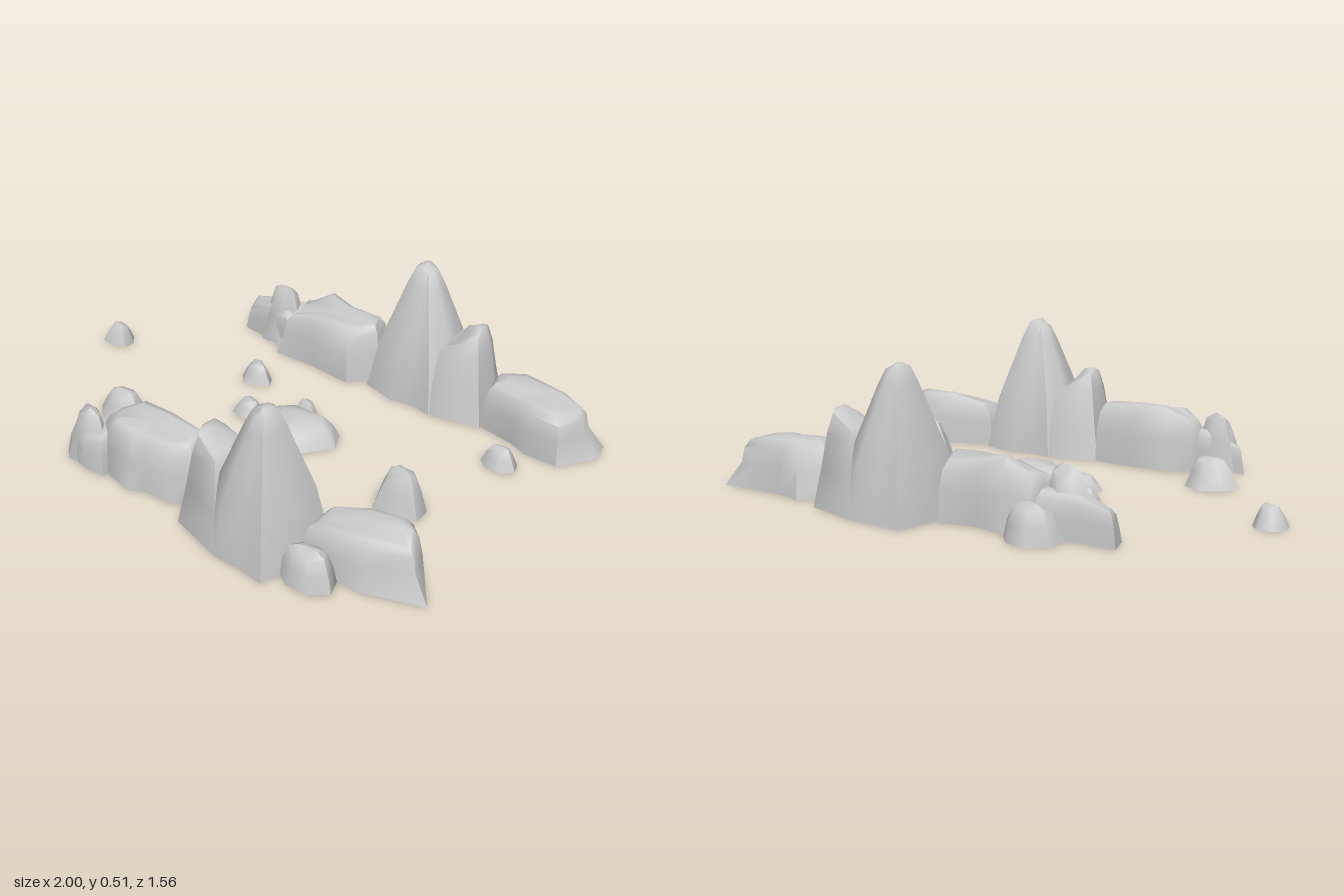
import * as THREE from 'three';
import { toCreasedNormals } from 'three/addons/utils/BufferGeometryUtils.js';

const material = new THREE.MeshStandardMaterial({ color: 0xcccccc, side: THREE.DoubleSide });

// Hollow rock: a footprint [x, z, height, flare] rises through rings [height share, inset] to an apex [x, z, y].
// stretch < 1 keeps the top long in x; flare spreads the foot of one corner.
function rock(name, base, apex, profile, stretch = 1) {
  const n = base.length, pos = [], index = [];
  for (const [t, inset] of profile) {
    for (const [x, z, h, flare = 0] of base) {
      const k = t > 0 ? inset + flare * (1 - inset) : 0;
      pos.push(x + (apex[0] - x) * k * stretch, h * t, z + (apex[1] - z) * k);
    }
  }
  pos.push(apex[0], apex[2], apex[1]);
  const last = profile.length - 1;
  for (let r = 0; r < last; r++) {
    for (let i = 0; i < n; i++) {
      const a = r * n + i, b = r * n + (i + 1) % n;
      index.push(a, a + n, b, b, a + n, b + n);
    }
  }
  for (let i = 0; i < n; i++) index.push(last * n + i, n * (last + 1), last * n + (i + 1) % n);
  const geometry = new THREE.BufferGeometry();
  geometry.setAttribute('position', new THREE.Float32BufferAttribute(pos, 3));
  geometry.setIndex(index);
  const mesh = new THREE.Mesh(toCreasedNormals(geometry, 0.95), material);
  mesh.name = name;
  return mesh;
}

const PEAK = [[0, 0], [0.4, 0.14], [0.7, 0.46], [0.86, 0.63], [0.98, 0.78], [1, 0.88]];
const SPUR = [[0, 0], [0.42, 0.14], [0.78, 0.32], [0.98, 0.5], [1, 0.65]];
const RIDGE = [[0, 0], [0.5, 0.05], [0.82, 0.17], [0.97, 0.36], [1, 0.6]];
const STONE = [[0, 0], [0.5, 0.24], [0.93, 0.52], [1, 0.75]];
const MOUND = [[0, 0], [0.5, 0.15], [0.9, 0.36], [1, 0.62]];

// Tall peak with a lower spur leaning on its side
function peak() {
  const g = new THREE.Group();
  g.add(
    rock('peakCone', [[0.07, -0.78, 0.51, 0.08], [0.17, -0.765, 0.515, 0.1], [0.28, -0.76, 0.5, 0.05],
      [0.41, -0.68, 0.5, 0.12], [0.43, -0.5, 0.5, 0.1], [0.36, -0.4, 0.5, 0.03], [0.27, -0.415, 0.51],
      [0.19, -0.4, 0.51], [0.05, -0.44, 0.51, 0.1], [0.03, -0.61, 0.51, 0.1]], [0.21, -0.58, 0.515], PEAK),
    rock('peakSpur', [[0.28, -0.76, 0.28, 0.1], [0.5, -0.69, 0.33, 0.1], [0.54, -0.6, 0.34, 0.08],
      [0.53, -0.54, 0.34], [0.56, -0.44, 0.33, 0.12], [0.47, -0.42, 0.31], [0.38, -0.4, 0.28],
      [0.28, -0.42, 0.26]], [0.43, -0.56, 0.335], SPUR));
  return g;
}

// Loose stone with a slightly uneven outline
function stone(name, x, z, rx, rz, h, turn, profile = STONE) {
  const sides = 7, base = [];
  for (let i = 0; i < sides; i++) {
    const a = turn + (i / sides) * Math.PI * 2;
    const r = 1 + 0.08 * Math.sin(i * 2.4 + turn * 5);
    base.push([x + rx * r * Math.cos(a), z + rz * r * Math.sin(a), h * (0.94 + 0.06 * Math.cos(i * 1.9))]);
  }
  return rock(name, base, [x + rx * 0.08, z, h], profile);
}

export function createModel() {
  const model = new THREE.Group();
  model.name = 'rockFormation';

  // Matching peaks, the front one turned half way round
  const backPeak = peak();
  backPeak.name = 'backPeak';
  const frontPeak = peak();
  frontPeak.name = 'frontPeak';
  frontPeak.rotation.y = Math.PI;
  frontPeak.position.x = 0.59;
  model.add(backPeak, frontPeak);

  // Low ridges on the left of each peak, spreading to a foot at the outer end
  model.add(
    rock('backLeftRidge', [[0.61, -0.65, 0.2, 0.15], [0.71, -0.62, 0.2, 0.05], [0.85, -0.615, 0.19, 0.1],
      [0.98, -0.61, 0.17, 0.35], [1, -0.52, 0.17, 0.36], [0.91, -0.39, 0.18], [0.78, -0.39, 0.19],
      [0.71, -0.42, 0.18], [0.56, -0.45, 0.2], [0.53, -0.55, 0.2]],
    [0.76, -0.52, 0.2], RIDGE, 0.6),
    rock('frontLeftRidge', [[0.54, 0.47, 0.17], [0.7, 0.42, 0.2], [0.85, 0.385, 0.2], [0.91, 0.44, 0.2],
      [1, 0.55, 0.17, 0.38], [0.8, 0.62, 0.18, 0.1], [0.69, 0.62, 0.17], [0.54, 0.6, 0.16]],
    [0.76, 0.505, 0.19], RIDGE, 0.6));

  // Low ridges on the right of each peak
  model.add(
    rock('backRightRidge', [[-0.33, -0.6, 0.2], [-0.24, -0.64, 0.25], [-0.12, -0.61, 0.23], [0.02, -0.63, 0.22],
      [0.06, -0.5, 0.23], [-0.02, -0.4, 0.22], [-0.2, -0.42, 0.21], [-0.38, -0.42, 0.17, 0.2],
      [-0.34, -0.53, 0.2]],
    [-0.15, -0.52, 0.22], RIDGE, 0.35),
    rock('frontRightRidge', [[-0.36, 0.48, 0.2], [-0.27, 0.42, 0.24], [-0.13, 0.42, 0.24], [0.04, 0.44, 0.23],
      [0.06, 0.57, 0.22], [0, 0.63, 0.22], [-0.12, 0.63, 0.21], [-0.17, 0.66, 0.2, 0.1], [-0.29, 0.63, 0.22],
      [-0.37, 0.57, 0.19]],
    [-0.16, 0.53, 0.22], RIDGE, 0.35));

  // Tapering ends of the ridges, each with a pointed knob
  model.add(
    rock('backTail', [[-0.64, -0.605, 0.12, 0.08], [-0.5, -0.6, 0.15], [-0.34, -0.62, 0.16], [-0.32, -0.55, 0.16],
      [-0.37, -0.47, 0.15], [-0.48, -0.49, 0.15], [-0.61, -0.51, 0.11, 0.08]],
    [-0.47, -0.55, 0.15], RIDGE, 0.5),
    stone('backKnob', -0.43, -0.54, 0.11, 0.075, 0.235, 0.4),
    rock('frontTail', [[-0.55, 0.53, 0.1, 0.15], [-0.46, 0.54, 0.13], [-0.36, 0.51, 0.15], [-0.3, 0.55, 0.15],
      [-0.3, 0.65, 0.14, 0.1], [-0.38, 0.655, 0.13], [-0.5, 0.62, 0.1, 0.1]],
    [-0.41, 0.58, 0.13], RIDGE, 0.5),
    stone('frontKnob', -0.42, 0.58, 0.11, 0.065, 0.21, 1.2));

  // Boulders against the ridges
  model.add(
    stone('frontBoulder', 0.625, 0.67, 0.1, 0.075, 0.13, 0.2, MOUND),
    stone('backBoulder', -0.365, -0.66, 0.105, 0.075, 0.13, 0.9, MOUND));

  // Loose stones between the ridges
  model.add(
    rock('centralMound', [[-0.03, -0.09, 0.08], [0.19, -0.08, 0.085], [0.23, 0, 0.08], [0.135, 0.13, 0.08],
      [0.01, 0.14, 0.075], [-0.12, 0.06, 0.07], [-0.1, -0.02, 0.08]], [0.06, 0.01, 0.09], MOUND),
    stone('moundStoneBack', 0.02, -0.1, 0.055, 0.042, 0.08, 0.5),
    stone('moundStoneRight', -0.17, 0.005, 0.065, 0.05, 0.065, 0.8),
    stone('largeStoneLeft', 0.622, 0.153, 0.103, 0.08, 0.158, 0.5),
    stone('largeStoneRight', -0.525, 0.3, 0.103, 0.08, 0.11, 0.3),
    stone('smallStoneRight', -0.305, -0.207, 0.068, 0.052, 0.08, 1.1),
    stone('smallStoneLeft', 0.748, -0.275, 0.067, 0.053, 0.08, 0.2),
    stone('outerStone', -0.937, -0.103, 0.066, 0.055, 0.08, 0.6));
  return model;
}
